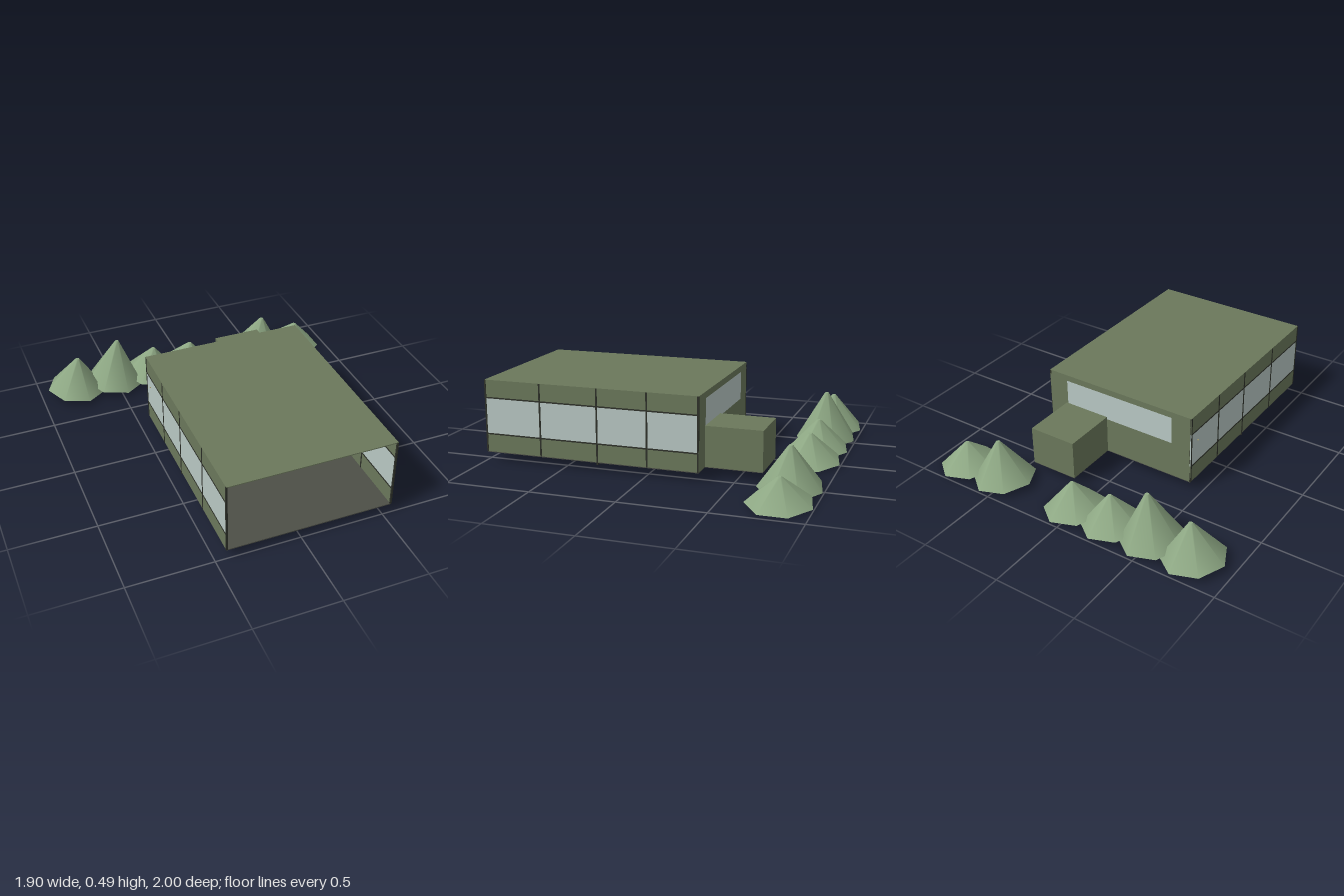
import * as THREE from 'three';

const mat = (name, color) => {
  const m = new THREE.MeshStandardMaterial({ color });
  m.name = name;
  return m;
};

export function createModel() {
  const root = new THREE.Group();
  root.name = 'pavilion';
  const wall = mat('olive wall', 0x6b785b);
  const floorMat = mat('dark floor', 0x4d4f47);
  const frame = mat('dark frame', 0x2e3129);
  const glass = mat('pale glass', 0xb9c8c4);
  const leaf = mat('foliage', 0x8ea884);
  const cord = mat('straw cord', 0xb0a066);
  const vine = mat('vine green', 0x5a6a4d);
  const red = mat('brick red', 0xa8564a);
  const wood = mat('wood', 0x7d6446);
  const grey = mat('grey panel', 0x565a50);

  const add = (name, geo, m, parent = root) => {
    const mesh = new THREE.Mesh(geo, m);
    mesh.name = name;
    parent.add(mesh);
    return mesh;
  };
  // Box given by its limits on each axis
  const box = (name, m, [x0, x1], [y0, y1], [z0, z1], parent = root) => {
    const b = add(name, new THREE.BoxGeometry(x1 - x0, y1 - y0, z1 - z0), m, parent);
    b.position.set((x0 + x1) / 2, (y0 + y1) / 2, (z0 + z1) / 2);
    return b;
  };
  const tube = (name, pts, r, m, parent) =>
    add(name, new THREE.TubeGeometry(
      new THREE.CatmullRomCurve3(pts.map(p => new THREE.Vector3(...p))), pts.length * 5, r, 6), m, parent);

  const X0 = -0.435, X1 = 0.555, Z0 = -0.312, Z1 = 0.995, Y0 = 0.057, Y1 = 0.488;

  // Roof and floor of the open-fronted hall
  box('roof', wall, [X0, X1], [Y1 - 0.006, Y1], [Z0, Z1]);
  box('floor', floorMat, [X0 + 0.001, X1 - 0.001], [Y0 - 0.005, Y0 + 0.001], [Z0 + 0.001, Z1 - 0.001]);
  box('floorBeam', frame, [X0, X1], [0.042, 0.054], [0.287, 0.297]);

  // Long side walls with a full-length window band and dark mullions
  for (const [side, x] of [['right', X0], ['left', X1]]) {
    const g = new THREE.Group();
    g.name = side + 'Wall';
    root.add(g);
    const t = [Math.min(x, x - Math.sign(x) * 0.006), Math.max(x, x - Math.sign(x) * 0.006)];
    const f = [t[0] - 0.002, t[1] + 0.002];
    box('lowerPanel', wall, t, [Y0, 0.165], [Z0, Z1], g);
    box('windowBand', glass, t, [0.165, 0.382], [Z0, Z1], g);
    box('upperPanel', wall, t, [0.382, Y1 - 0.001], [Z0, Z1], g);
    for (const y of [0.165, 0.382]) box('rail', frame, f, [y - 0.004, y + 0.004], [Z0, Z1], g);
    for (const z of [Z0 + 0.005, -0.008, 0.292, 0.645, Z1 - 0.004])
      box('mullion', frame, f, [z === 0.292 ? 0.042 : Y0, Y1 - 0.001], [z - 0.005, z + 0.005], g);
  }

  // Back wall around a wide window
  const back = new THREE.Group();
  back.name = 'backWall';
  root.add(back);
  const bz = [Z0, Z0 + 0.006], wx = [-0.305, 0.43], wy = [0.28, 0.45];
  box('belowWindow', wall, [X0, X1], [Y0, wy[0]], bz, back);
  box('aboveWindow', wall, [X0, X1], [wy[1], Y1 - 0.001], bz, back);
  box('besideWindow', wall, [X0, wx[0]], wy, bz, back);
  box('besideWindow', wall, [wx[1], X1], wy, bz, back);
  box('backWindow', glass, wx, wy, bz, back);
  const fz = [bz[1], bz[1] + 0.004];
  for (const x of wx) box('windowJamb', frame, [x - 0.005, x + 0.005], wy, fz, back);
  for (const y of wy) box('windowRail', frame, wx, [y - 0.004, y + 0.004], fz, back);

  // Annex behind the hall
  box('annex', wall, [0.145, 0.44], [Y0, 0.295], [-0.645, Z0]);
  box('annexBase', floorMat, [0.146, 0.439], [Y0 - 0.004, Y0], [-0.644, Z0]);

  // Panelled cupboard
  const cupboard = new THREE.Group();
  cupboard.name = 'cupboard';
  root.add(cupboard);
  box('cupboardBody', wall, [-0.28, -0.07], [Y0, 0.275], [-0.305, -0.25], cupboard);
  for (const x of [-0.277, -0.068])
    box('cupboardPost', frame, [x - 0.004, x + 0.004], [Y0, 0.28], [-0.25, -0.244], cupboard);
  [[0.22, wood], [0.165, red], [0.105, wood]].forEach(([y, m]) =>
    box('shelfLine', m, [-0.273, -0.072], [y - 0.003, y + 0.003], [-0.25, -0.245], cupboard));

  // Doorway
  const door = new THREE.Group();
  door.name = 'doorway';
  root.add(door);
  box('doorLeaf', wall, [0.235, 0.345], [Y0, 0.235], [-0.306, -0.296], door);
  for (const x of [0.229, 0.352])
    box('doorPost', frame, [x - 0.006, x + 0.006], [Y0, 0.245], [-0.306, -0.285], door);
  box('doorLintel', red, [0.223, 0.358], [0.235, 0.25], [-0.306, -0.283], door);

  // Low bench
  const bench = new THREE.Group();
  bench.name = 'bench';
  root.add(bench);
  box('benchTop', wood, [-0.052, 0.17], [0.1, 0.108], [0.06, 0.15], bench);
  for (const x of [-0.05, 0.148]) box('benchLeg', wood, [x, x + 0.02], [Y0, 0.1], [0.06, 0.15], bench);
  box('benchPanel', grey, [-0.03, 0.148], [Y0, 0.1], [0.07, 0.14], bench);
  box('underfloorPlate', red, [-0.035, 0.03], [0.05, 0.0525], [0.085, 0.115]);

  // Tilted square frame on the back wall
  const picture = new THREE.Group();
  picture.name = 'picture';
  picture.position.set(-0.34, 0.147, -0.3);
  picture.rotation.z = -0.12;
  root.add(picture);
  box('pictureFrame', frame, [-0.042, 0.042], [-0.04, 0.04], [-0.004, 0.002], picture);
  box('pictureFace', wall, [-0.037, 0.037], [-0.035, 0.035], [0.002, 0.005], picture);

  // Wavy cords strung across the back of the hall
  const cords = new THREE.Group();
  cords.name = 'cords';
  root.add(cords);
  [0.265, 0.285, 0.305, 0.325, 0.35, 0.38].forEach((y, i) => {
    const pts = [];
    const start = i < 4 ? -0.41 : -0.33;
    for (let k = 0; k <= 12; k++)
      pts.push([start + (0.52 - start) * k / 12, y + 0.009 * Math.sin(k * 1.1 + i * 1.3), -0.24 + 0.005 * i]);
    tube('cord', pts, 0.004, cord, cords);
  });
  tube('cordTie', [[-0.33, 0.37, -0.23], [-0.335, 0.34, -0.23], [-0.33, 0.3, -0.23]], 0.004, cord, cords);
  tube('cordEnd', [[-0.442, 0.31, -0.24], [-0.425, 0.312, -0.24], [-0.41, 0.31, -0.24]], 0.004, cord, cords);

  // Curling vines
  for (let i = 0; i < 6; i++) {
    const x = -0.38 + i * 0.172, s = i * 0.008;
    tube('vine', [[x + 0.02 - s, 0.43, -0.2], [x + s * 0.4, 0.405, -0.2], [x - 0.022 + s * 1.2, 0.375, -0.2],
      [x + 0.008 + s, 0.35, -0.2], [x + 0.02 + s * 0.6, 0.325, -0.2], [x + 0.006, 0.3, -0.2], [x - 0.02, 0.285, -0.2]],
      0.012, vine, root);
  }

  // Red ball
  add('ball', new THREE.SphereGeometry(0.031, 16, 12), red).position.set(-0.295, 0.295, -0.19);

  // Row of slightly leaning seven-sided trees: base x, height
  [[-0.77, 0.218], [-0.51, 0.293], [-0.253, 0.182], [0.005, 0.165], [0.522, 0.242], [0.783, 0.145]]
    .forEach(([x, h], i) => {
      const geo = new THREE.CylinderGeometry(0.012, 0.186, h, 7, 1, false, -Math.PI / 2);
      geo.translate(0, h / 2, 0);
      const tree = add('tree', geo, leaf);
      tree.position.set(x, 0.029 - i * 0.0017, -0.82);
      tree.rotation.z = -0.115;
    });

  return root;
}
